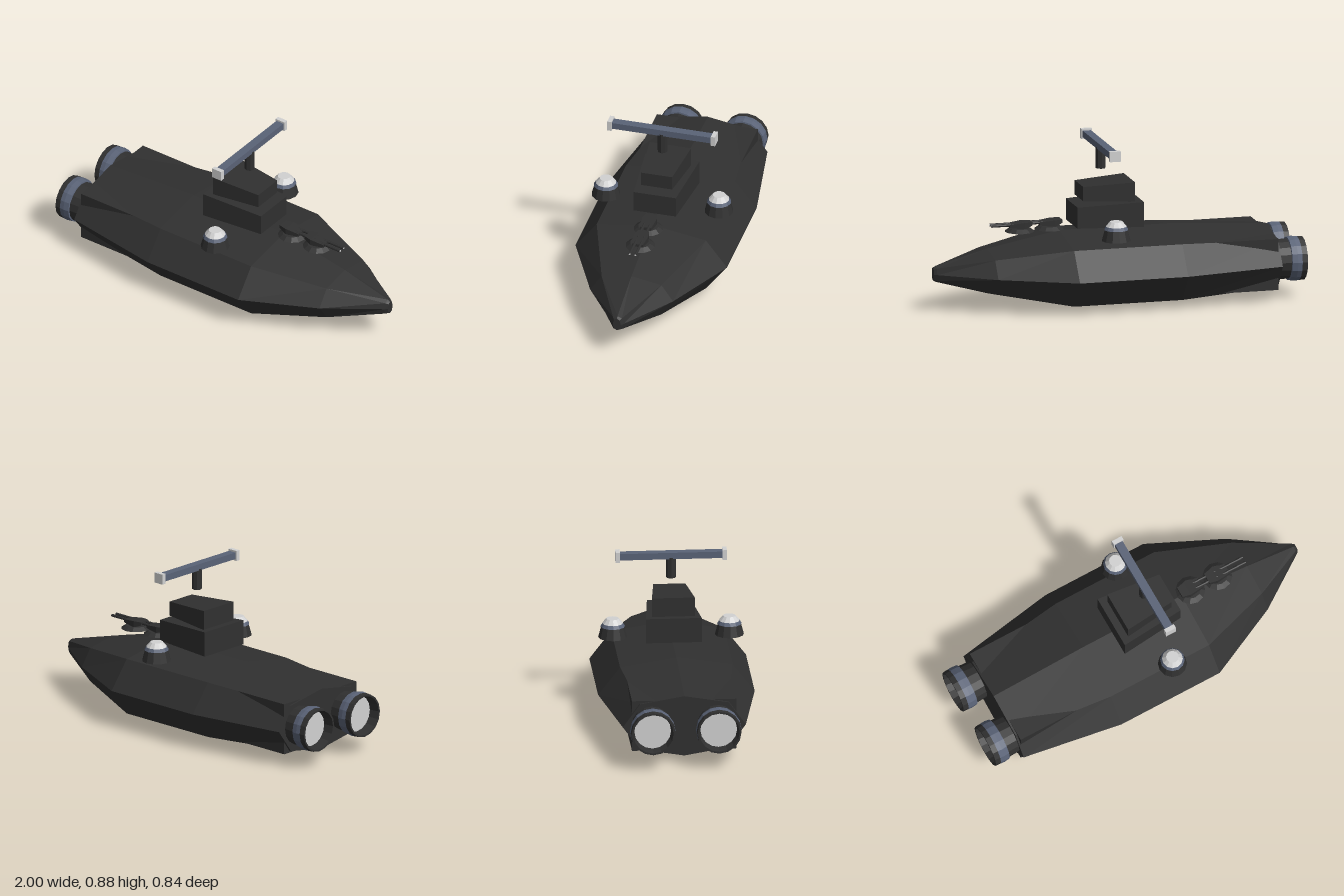
import * as THREE from 'three';

const flat = (name, color) => {
  const m = new THREE.MeshStandardMaterial({ color });
  m.name = name;
  m.flatShading = true;
  return m;
};

// Skin a closed solid over rings that run along +x, each counter-clockwise seen from +x
function loft(rings) {
  const pos = [];
  const tri = (...pts) => pts.forEach((p) => pos.push(...p));
  const n = rings[0].length;
  for (let i = 0; i < rings.length - 1; i++) {
    const a = rings[i], b = rings[i + 1];
    for (let j = 0; j < n; j++) {
      const k = (j + 1) % n;
      tri(a[j], a[k], b[j]);
      tri(a[k], b[k], b[j]);
    }
  }
  const back = rings[0], front = rings[rings.length - 1];
  for (let j = 1; j < n - 1; j++) {
    tri(back[0], back[j + 1], back[j]);
    tri(front[0], front[j], front[j + 1]);
  }
  const g = new THREE.BufferGeometry();
  g.setAttribute('position', new THREE.Float32BufferAttribute(pos, 3));
  g.computeVertexNormals();
  return g;
}

// Eight-sided hull section and four-sided cabin section
const hullRing = (x, w, y0, y1) => {
  const c = (y0 + y1) / 2, h = (y1 - y0) / 2;
  return [[-1, 0], [-0.72, 0.76], [0, 1], [0.72, 0.76], [1, 0], [0.72, -0.76], [0, -1], [-0.72, -0.76]]
    .map(([z, y]) => [x, c + y * h, z * w]);
};
const boxRing = (x, w, y0, y1) => [[x, y0, -w], [x, y1, -w], [x, y1, w], [x, y0, w]];

export function createModel() {
  const root = new THREE.Group();
  root.name = 'ship';
  const dark = flat('charcoal', 0x303030);
  const blue = flat('slateBlue', 0x5a6377);
  const light = flat('paleGrey', 0xd2d2d2);
  const shell = flat('charcoalShell', 0x303030);
  shell.side = THREE.DoubleSide;
  const blueShell = flat('slateBlueShell', 0x5a6377);
  blueShell.side = THREE.DoubleSide;

  const add = (parent, name, geo, mat, x = 0, y = 0, z = 0) => {
    const m = new THREE.Mesh(geo, mat);
    m.name = name;
    m.position.set(x, y, z);
    parent.add(m);
    return m;
  };
  const group = (name, x, y, z) => {
    const g = new THREE.Group();
    g.name = name;
    g.position.set(x, y, z);
    root.add(g);
    return g;
  };
  const cyl = (rTop, rBottom, h, n) => new THREE.CylinderGeometry(rTop, rBottom, h, n);

  // Hull
  add(root, 'hull', loft([
    hullRing(-0.85, 0.33, 0.035, 0.37),
    hullRing(-0.3, 0.42, 0, 0.402),
    hullRing(0.3, 0.42, 0, 0.402),
    hullRing(0.7, 0.23, 0.08, 0.325),
    hullRing(0.985, 0.034, 0.16, 0.248),
    hullRing(1, 0.022, 0.168, 0.24),
  ]), dark);

  // Engines: fairing, stepped nozzle shell and recessed exhaust disc
  for (const s of [1, -1]) {
    const side = s > 0 ? 'left' : 'right';
    add(root, side + 'EngineFairing', new THREE.BoxGeometry(0.43, 0.28, 0.22), dark, -0.625, 0.205, s * 0.17);
    const e = group(side + 'Engine', -1, 0.21, s * 0.177);
    e.rotation.z = -Math.PI / 2;
    const turn = (name, pts, mat) => add(e, name,
      new THREE.LatheGeometry(pts.map(([r, d]) => new THREE.Vector2(r, d)), 16), mat);
    turn('nozzleNeck', [[0.105, 0.18], [0.11, 0.085]].reverse(), shell);
    turn('nozzleBand', [[0.12, 0.03], [0.122, 0.055], [0.118, 0.085], [0.108, 0.087]], blueShell);
    turn('nozzleRim', [[0.098, 0.06], [0.108, 0], [0.118, 0], [0.12, 0.03]], shell);
    add(e, 'exhaust', cyl(0.1, 0.1, 0.008, 16), light, 0, 0.06, 0);
  }

  // Bridge: two blocks tapering toward the bow
  add(root, 'lowerBridge', loft([boxRing(-0.13, 0.15, 0.426, 0.562), boxRing(0.23, 0.117, 0.43, 0.546)]), dark);
  add(root, 'upperBridge', loft([boxRing(-0.09, 0.115, 0.558, 0.665), boxRing(0.19, 0.086, 0.572, 0.65)]), dark);

  // Antenna
  const antenna = group('antenna', 0.07, 0, 0);
  add(antenna, 'mast', cyl(0.027, 0.027, 0.115, 8), dark, 0, 0.787, 0);
  add(antenna, 'beam', new THREE.BoxGeometry(0.046, 0.036, 0.56), blue, 0, 0.855, 0);
  for (const s of [1, -1]) {
    add(antenna, 'beamCap', new THREE.BoxGeometry(0.06, 0.056, 0.024), light, 0, 0.855, s * 0.287);
  }

  // Sensor domes on both sides
  for (const s of [1, -1]) {
    const dome = group(s > 0 ? 'leftDome' : 'rightDome', 0.07, 0, s * 0.313);
    add(dome, 'domeBase', cyl(0.062, 0.078, 0.06, 12), dark, 0, 0.43, 0);
    add(dome, 'domeBand', cyl(0.056, 0.066, 0.018, 12), blue, 0, 0.469, 0);
    add(dome, 'domeCap', cyl(0.034, 0.056, 0.026, 12), light, 0, 0.491, 0);
  }

  // Twin-barrel turrets
  [0.355, 0.52].forEach((x, i) => {
    const lift = i ? 0 : 0.004;
    const t = group(i ? 'foreTurret' : 'aftTurret', x, lift, 0);
    add(t, 'turretBase', cyl(0.055, 0.08, 0.018, 12), dark, 0, 0.419, 0);
    add(t, 'turretHead', loft([
      boxRing(-0.065, 0.03, 0.443, 0.461), boxRing(-0.02, 0.04, 0.426, 0.461), boxRing(0.06, 0.03, 0.436, 0.452),
    ]), dark);
    for (const s of [1, -1]) {
      const barrel = add(t, 'barrel', cyl(0.008, 0.008, 0.14, 8), dark, 0.09, 0.449, s * 0.016);
      barrel.rotation.z = -Math.PI / 2;
      const muzzle = add(t, 'muzzle', cyl(0.005, 0.005, 0.004, 8), light, 0.16, 0.449, s * 0.016);
      muzzle.rotation.z = -Math.PI / 2;
    }
  });

  return root;
}
